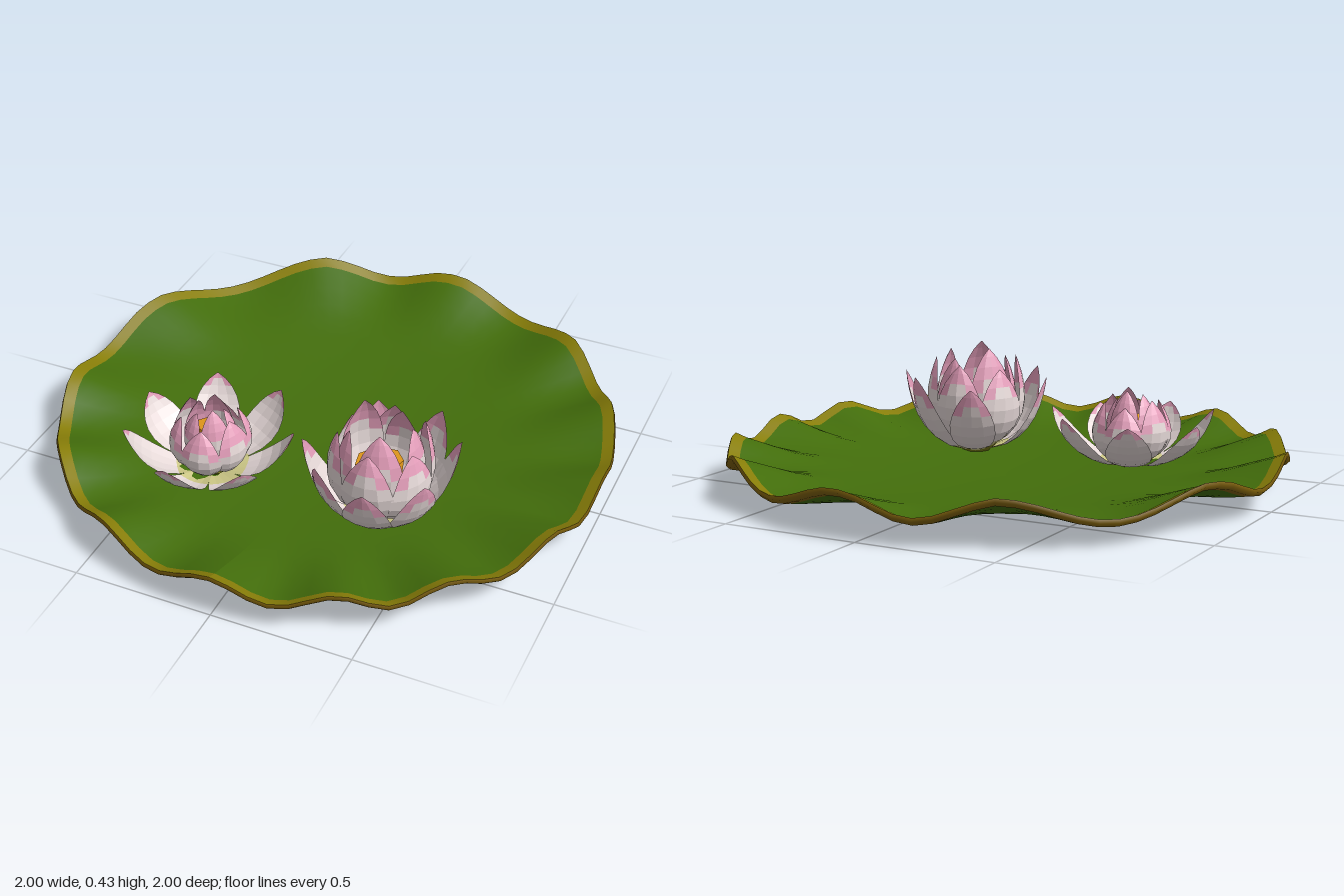
import * as THREE from 'three';

const mat = (name, color, side = THREE.FrontSide, flatShading = false) => {
  const m = new THREE.MeshStandardMaterial({ color, side, flatShading });
  m.name = name;
  return m;
};

// Directions, in degrees, in which the ruffled margin rises
const crests = [0, 20, 45, 66, 90, 117, 142, 167, 200, 244, 274, 312, 336, 360];

// Height of the pad's underside: a shallow dish with uneven ruffles
function padHeight(r, a) {
  const deg = (THREE.MathUtils.radToDeg(a) + 360) % 360;
  const k = crests.findIndex(c => c > deg);
  const u = (deg - crests[k - 1]) / (crests[k] - crests[k - 1]);
  const size = 0.018 + 0.0005 * (crests[k] - crests[k - 1]);
  const ruffle = THREE.MathUtils.smoothstep(r, 0.62, 1);
  return 0.108 * Math.pow(r, 2.5) + ruffle * size * Math.cos(2 * Math.PI * u);
}

// Revolved strip of the pad; profile holds [radius, height above the underside]
function padStrip(name, profile, material) {
  const geo = new THREE.LatheGeometry(profile.map(([r, h]) => new THREE.Vector2(r, h)), 96);
  const p = geo.attributes.position;
  for (let i = 0; i < p.count; i++) {
    const x = p.getX(i), z = p.getZ(i);
    p.setY(i, p.getY(i) + padHeight(Math.hypot(x, z), Math.atan2(z, x)));
  }
  geo.computeVertexNormals();
  const mesh = new THREE.Mesh(geo, material);
  mesh.name = name;
  return mesh;
}

// Cupped petal with a short point: a path in (radius, height) swept across its width.
// Quads beyond pinkFrom are pink, reaching lower along the edges than in the middle.
function petalGeometry({ base, belly, tip, width, cup, pinkFrom }) {
  const path = new THREE.QuadraticBezierCurve(
    new THREE.Vector2(...base), new THREE.Vector2(...belly), new THREE.Vector2(...tip));
  const rows = [0, 0.22, 0.36, 0.5, 0.64, 0.76, 0.86, 0.94, 1];
  const widths = [0.3, 0.7, 0.9, 1, 0.98, 0.85, 0.64, 0.36, 0.02];
  const cols = 4, pos = [], index = [];
  rows.forEach((t, j) => {
    const c = path.getPoint(t), d = path.getTangent(t);
    for (let i = 0; i <= cols; i++) {
      const s = (i / cols) * 2 - 1, lift = cup * s * s * widths[j];
      // edges curl towards the inner side of the petal
      pos.push(c.x - d.y * lift, c.y + d.x * lift, s * widths[j] * width / 2);
    }
  });
  const geo = new THREE.BufferGeometry();
  for (let j = 0; j < rows.length - 1; j++) {
    for (let i = 0; i < cols; i++) {
      const a = j * (cols + 1) + i, b = a + cols + 1;
      const edge = i === 0 || i === cols - 1 ? 0.1 : 0;
      geo.addGroup(index.length, 6, j === 0 ? 0 : rows[j] + edge >= pinkFrom ? 2 : 1);
      index.push(a, b, a + 1, b, b + 1, a + 1);
    }
  }
  geo.setAttribute('position', new THREE.Float32BufferAttribute(pos, 3));
  geo.setIndex(index);
  geo.computeVertexNormals();
  return geo;
}

const evenly = (n, first) => Array.from({ length: n }, (_, i) => first + (360 * i) / n);

export function createModel() {
  const group = new THREE.Group();
  const leafGreen = mat('leaf green', 0x436e0b);
  const rimOlive = mat('olive rim', 0x887e08);
  const rimBrown = mat('brown rim edge', 0x80620c);
  const petalMats = [
    mat('petal base yellow green', 0xcfca88, THREE.DoubleSide, true),
    mat('petal white', 0xfaeceb, THREE.DoubleSide, true),
    mat('petal pink', 0xeba3c0, THREE.DoubleSide, true),
  ];
  const orange = mat('heart orange', 0xfcaa20, THREE.FrontSide, true);
  const sepalGreen = mat('sepal olive', 0x7a7a18, THREE.FrontSide, true);

  // Lily pad: underside, brown edge, olive margin and upper face
  const pad = new THREE.Group();
  pad.name = 'lilyPad';
  const radii = [0.001, 0.2, 0.4, 0.6, 0.7, 0.78, 0.86, 0.92, 0.955];
  pad.add(
    padStrip('padUnderside', radii.map(r => [r, 0]), leafGreen),
    padStrip('padEdge', [[0.955, 0], [0.985, -0.002], [1, 0.008], [0.995, 0.022]], rimBrown),
    padStrip('padMargin', [[0.995, 0.022], [0.955, 0.016]], rimOlive),
    padStrip('padTop', [[0.955, 0.016], ...radii.slice(0, 8).reverse().map(r => [r, 0.016])], leafGreen));
  group.add(pad);

  function addFlower(name, x, z, rings, heart) {
    const flower = new THREE.Group();
    flower.name = name;
    flower.position.set(x, 0.03, z);
    rings.forEach(ring => {
      const geo = petalGeometry(ring);
      ring.angles.forEach((deg, i) => {
        const petal = new THREE.Mesh(geo, petalMats);
        petal.name = ring.name;
        petal.rotation.y = -THREE.MathUtils.degToRad(deg);
        petal.scale.y = 1 - 0.05 * ((i * 2) % 3); // slight unevenness
        flower.add(petal);
      });
    });
    // Slightly tilted heart and the little cup beneath the petals
    const core = new THREE.Mesh(new THREE.CylinderGeometry(heart.r, heart.r * 0.6, heart.h, 7), orange);
    core.name = 'flowerHeart';
    core.position.y = heart.h / 2 + 0.01;
    core.rotation.set(-0.1, 0, 0.12);
    const cup = new THREE.Mesh(new THREE.CylinderGeometry(0.085, 0.05, 0.03, 8), sepalGreen);
    cup.name = 'flowerCup';
    cup.position.y = 0.012;
    flower.add(core, cup);
    group.add(flower);
  }

  // Wide open flower with a tight bud in the middle
  addFlower('openFlower', -0.33, 0.34, [
    { name: 'outerPetal', angles: evenly(7, -9), base: [0.04, 0], belly: [0.25, 0.02], tip: [0.305, 0.2], width: 0.165, cup: 0.015, pinkFrom: 0.93 },
    { name: 'middlePetal', angles: evenly(6, 20), base: [0.04, 0], belly: [0.22, 0.08], tip: [0.1, 0.25], width: 0.15, cup: 0.03, pinkFrom: 0.74 },
    { name: 'innerPetal', angles: evenly(5, 50), base: [0.03, 0.02], belly: [0.15, 0.13], tip: [0.05, 0.28], width: 0.11, cup: 0.02, pinkFrom: 0.6 },
  ], { r: 0.05, h: 0.17 });

  // Taller, cup-shaped flower
  addFlower('tallFlower', 0.31, 0.32, [
    { name: 'outerPetal', angles: [-62, -115, 162, 122, 81, 36, -22], base: [0.04, 0], belly: [0.24, 0.03], tip: [0.27, 0.3], width: 0.17, cup: 0.02, pinkFrom: 0.86 },
    { name: 'middlePetal', angles: evenly(6, -35), base: [0.04, 0], belly: [0.26, 0.1], tip: [0.15, 0.36], width: 0.19, cup: 0.035, pinkFrom: 0.85 },
    { name: 'innerPetal', angles: evenly(5, 215), base: [0.04, 0.02], belly: [0.22, 0.16], tip: [0.11, 0.4], width: 0.17, cup: 0.03, pinkFrom: 0.74 },
  ], { r: 0.085, h: 0.2 });

  return group;
}
